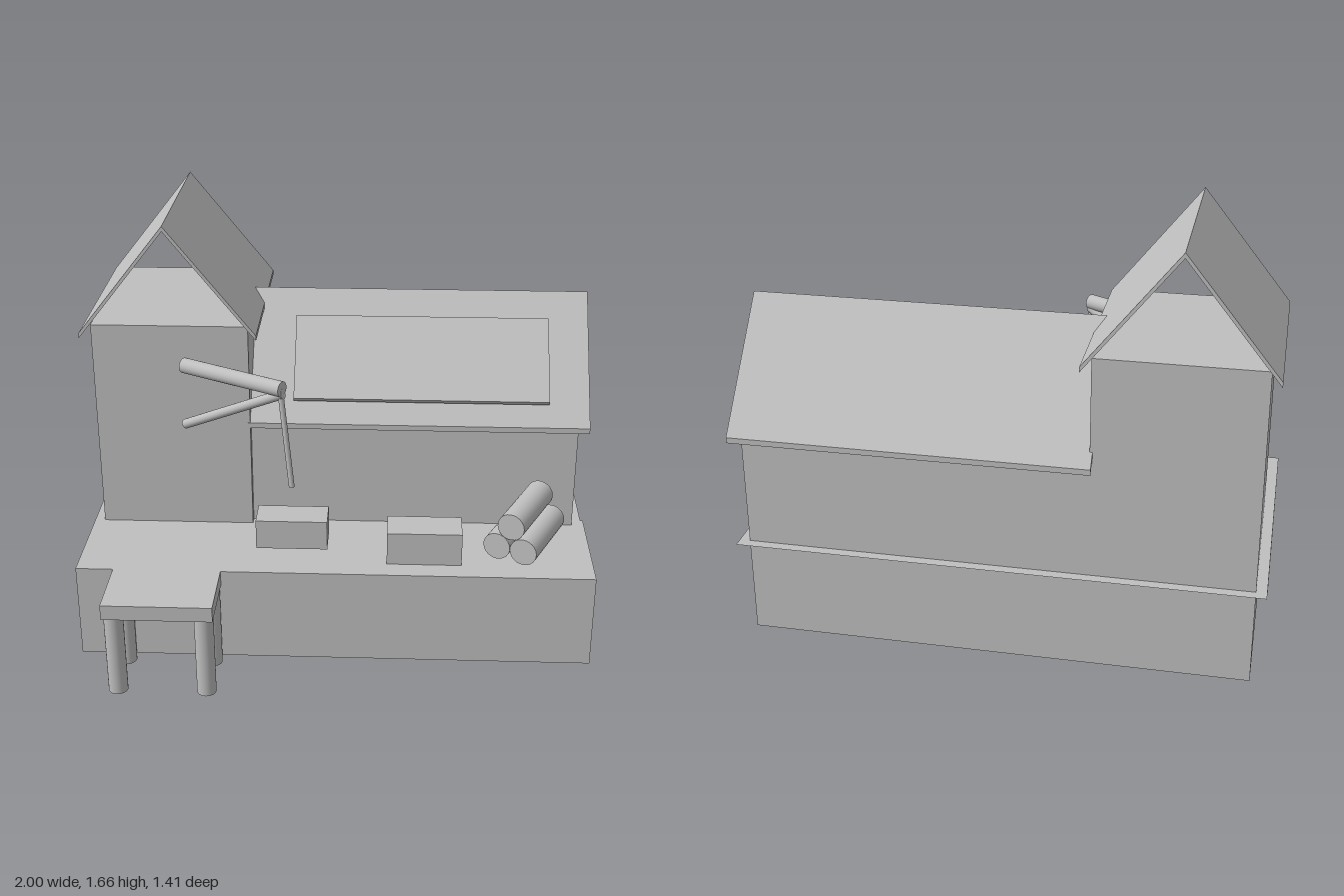
import * as THREE from 'three';

export function createModel() {
  const model = new THREE.Group();
  const grey = new THREE.MeshStandardMaterial({ color: 0xbfbfbf });
  grey.name = 'plain grey';
  const greySheet = new THREE.MeshStandardMaterial({ color: 0xbfbfbf, side: THREE.DoubleSide });
  greySheet.name = 'plain grey sheet';

  const add = (name, geometry, material = grey) => {
    const mesh = new THREE.Mesh(geometry, material);
    mesh.name = name;
    model.add(mesh);
    return mesh;
  };

  // Box given by its limits on each axis
  const box = (name, x0, x1, y0, y1, z0, z1) =>
    add(name, new THREE.BoxGeometry(x1 - x0, y1 - y0, z1 - z0))
      .position.set((x0 + x1) / 2, (y0 + y1) / 2, (z0 + z1) / 2);

  // Round bar between two points
  const rod = (name, from, to, radius, sides = 24) => {
    const a = new THREE.Vector3(...from), b = new THREE.Vector3(...to);
    const mesh = add(name, new THREE.CylinderGeometry(radius, radius, a.distanceTo(b), sides));
    mesh.position.copy(a).add(b).multiplyScalar(0.5);
    mesh.quaternion.setFromUnitVectors(new THREE.Vector3(0, 1, 0), b.sub(a).normalize());
  };

  // Closed outline pushed along z
  const prism = (name, points, depth) => {
    const shape = new THREE.Shape(points.map(p => new THREE.Vector2(...p)));
    return add(name, new THREE.ExtrudeGeometry(shape, { depth, bevelEnabled: false }));
  };

  // Thin gable roof outline, ridge at u = 0
  const gable = (half, ridge, eave, t) => [
    [-half, eave], [0, ridge], [half, eave],
    [half, eave - t], [0, ridge - t], [-half, eave - t]];

  // Quay base, and the foundation behind it
  box('quayBase', -1, 1, 0.02, 0.4, -0.03, 0.44);
  box('foundation', -0.96, 0.95, 0.02, 0.4, -0.66, -0.03);

  // Paper-thin ledge round the back of the buildings
  const ledge = add('ledge', new THREE.PlaneGeometry(1.99, 0.67), greySheet);
  ledge.rotation.x = -Math.PI / 2;
  ledge.position.set(-0.005, 0.4, -0.365);

  // Walls
  box('towerWalls', -0.96, -0.35, 0.4, 1.255, -0.66, 0.045);
  box('houseWalls', -0.35, 0.95, 0.4, 0.868, -0.66, 0.01);

  // Open-ended gable roofs
  prism('towerRoof', gable(0.342, 1.665, 1.236, 0.02), 0.79).position.set(-0.656, 0, -0.7);
  const houseRoof = prism('houseRoof', gable(0.374, 1.288, 0.85, 0.022), 1.35);
  houseRoof.rotation.y = Math.PI / 2;
  houseRoof.position.set(-0.36, 0, -0.328);

  // Raised panel on the front slope (outline in -z, y)
  const panel = prism('roofPanel',
    [[0.003, 0.928], [0.24, 1.192], [0.228, 1.207], [-0.007, 0.943]], 1.01);
  panel.rotation.y = Math.PI / 2;
  panel.position.x = -0.18;

  // Landing stage on four round legs
  box('landingStage', -0.855, -0.438, 0.34, 0.4, 0.44, 0.705);
  for (const x of [-0.818, -0.478])
    for (const z of [0.455, 0.655])
      rod('stageLeg', [x, 0, z], [x, 0.342, z], 0.037);

  // Crates
  box('leftCrate', -0.305, -0.03, 0.465, 0.583, 0.235, 0.365);
  box('rightCrate', 0.2, 0.49, 0.401, 0.535, 0.213, 0.357);

  // Stack of three logs
  const r = 0.054, turn = 0.433, half = 0.16;
  const dx = Math.sin(turn), dz = -Math.cos(turn);
  for (const [side, y] of [[-r, 0.486], [r, 0.486], [0, 0.581]]) {
    const cx = 0.738 - side * dz, cz = 0.226 + side * dx;
    rod('log', [cx - dx * half, y, cz - dz * half], [cx + dx * half, y, cz + dz * half], r);
  }

  // Hoist: boom, brace and hanging line
  rod('hoistBoom', [-0.2, 1.105, 0.295], [-0.6, 1.105, 0.075], 0.03);
  rod('hoistBrace', [-0.2, 1.083, 0.29], [-0.603, 0.855, 0.075], 0.019);
  rod('hoistLine', [-0.208, 1.105, 0.29], [-0.168, 0.707, 0.312], 0.011, 12);

  return model;
}
